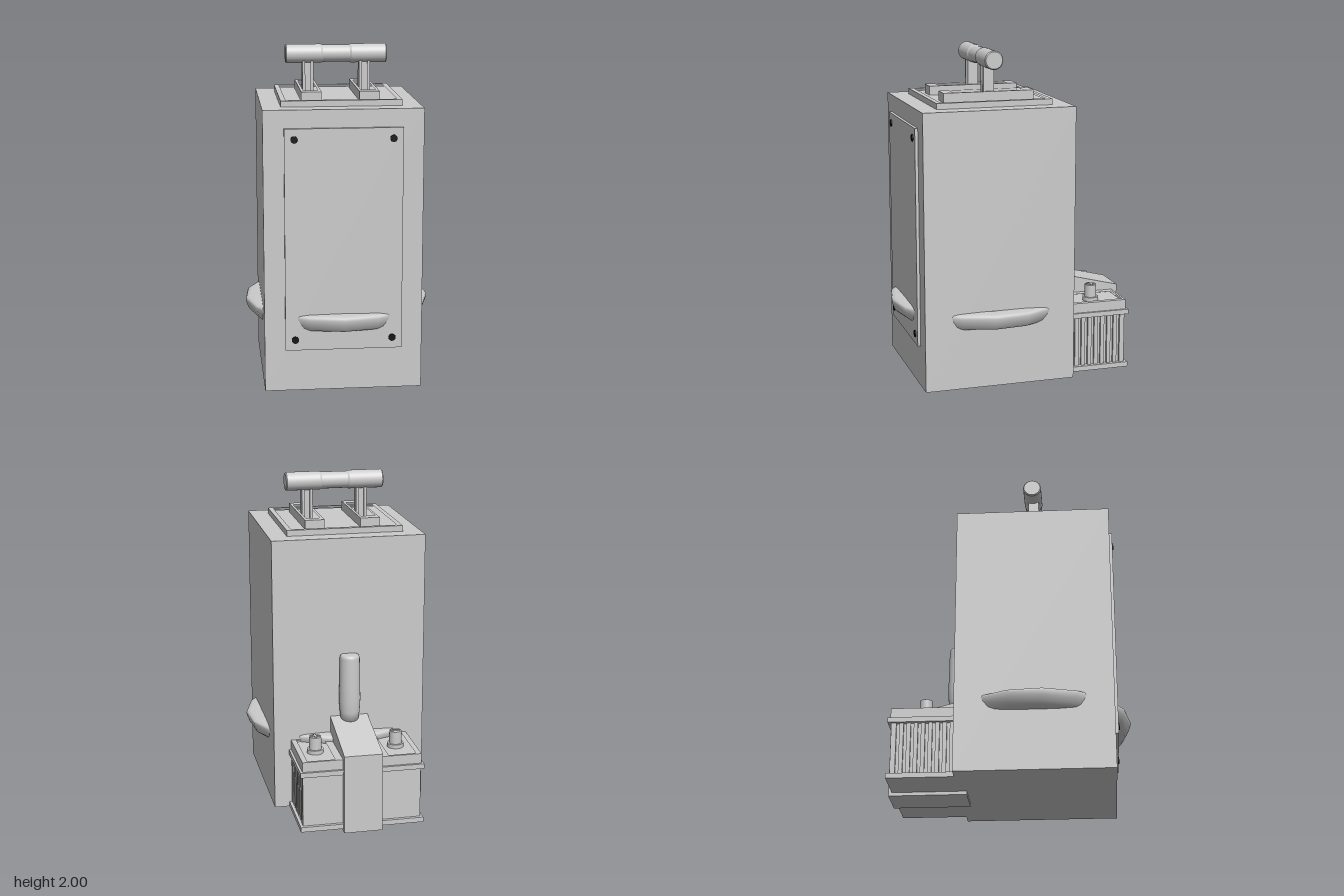
import * as THREE from 'three';

const grey = new THREE.MeshStandardMaterial({ color: 0xcccccc });
const black = new THREE.MeshStandardMaterial({ color: 0x111111 });

export function createModel() {
  const root = new THREE.Group();

  const add = (name, geometry, x = 0, y = 0, z = 0, parent = root, material = grey) => {
    const mesh = new THREE.Mesh(geometry, material);
    mesh.name = name;
    mesh.position.set(x, y, z);
    parent.add(mesh);
    return mesh;
  };
  // box given by its limits on each axis
  const box = (name, x0, x1, y0, y1, z0, z1, parent = root) =>
    add(name, new THREE.BoxGeometry(x1 - x0, y1 - y0, z1 - z0),
      (x0 + x1) / 2, (y0 + y1) / 2, (z0 + z1) / 2, parent);
  const rect = (target, x0, x1, z0, z1) => {
    target.moveTo(x0, -z0);
    target.lineTo(x1, -z0);
    target.lineTo(x1, -z1);
    target.lineTo(x0, -z1);
    target.closePath();
    return target;
  };
  // flat rectangular frame lying in the xz plane; outer and inner are [x0, x1, z0, z1]
  const frame = (name, outer, inner, y0, y1, parent = root) => {
    const shape = rect(new THREE.Shape(), ...outer);
    shape.holes.push(rect(new THREE.Path(), ...inner));
    const g = new THREE.ExtrudeGeometry(shape, { depth: y1 - y0, bevelEnabled: false });
    g.rotateX(-Math.PI / 2);
    return add(name, g, 0, y0, 0, parent);
  };

  // cabinet and front panel with four screws
  box('cabinet', -0.46, 0.46, 0.02, 1.68, -0.3, 0.62);
  box('frontPanel', -0.34, 0.34, 0.27, 1.575, 0.615, 0.638);
  for (const x of [-0.283, 0.283]) for (const y of [0.333, 1.513]) {
    const g = new THREE.CylinderGeometry(0.021, 0.021, 0.015, 16).rotateX(Math.PI / 2);
    add('panelScrew', g, x, y, 0.637, root, black);
  }

  // hose ring that passes through the cabinet walls
  const ringProfile = [
    [0.43, 0.38], [0.49, 0.382], [0.52, 0.388], [0.537, 0.403], [0.55, 0.435],
    [0.557, 0.46], [0.552, 0.474], [0.53, 0.481], [0.48, 0.485], [0.43, 0.482], [0.43, 0.38],
  ].map(([r, y]) => new THREE.Vector2(r, y));
  add('hoseRing', new THREE.LatheGeometry(ringProfile, 17), 0, 0, 0.16);

  // top plate with a raised rim
  box('topPlate', -0.34, 0.34, 1.675, 1.7, -0.18, 0.5);
  frame('topPlateRim', [-0.35, 0.35, -0.19, 0.51], [-0.32, 0.32, -0.16, 0.48], 1.675, 1.715);

  // slotted rails and handle posts
  for (const side of [-1, 1]) {
    const cx = side * 0.168;
    frame('slotRail', [cx - 0.059, cx + 0.059, -0.115, 0.437],
      [cx - 0.043, cx + 0.043, -0.055, 0.373], 1.69, 1.755);
    const post = new THREE.Group();
    post.name = 'handlePost';
    post.position.x = cx;
    root.add(post);
    box('postCore', -0.02, 0.02, 1.69, 1.93, 0.135, 0.175, post);
    for (const s of [-1, 1]) {
      box('postFlange', s * 0.0245 - 0.0085, s * 0.0245 + 0.0085, 1.69, 1.93, 0.123, 0.187, post);
    }
  }

  // handle bar with a slimmer middle
  const barProfile = [[0, -0.3], [0.05, -0.3], [0.056, -0.294], [0.056, -0.09], [0.051, -0.08],
    [0.051, 0.08], [0.056, 0.09], [0.056, 0.294], [0.05, 0.3], [0, 0.3]];
  for (let i = 1; i < barProfile.length; i++) {
    // separate bands keep the edges sharp
    const band = [barProfile[i - 1], barProfile[i]].map(([r, y]) => new THREE.Vector2(r, y));
    add('handleBar', new THREE.LatheGeometry(band, 28).rotateZ(-Math.PI / 2), 0, 1.944, 0.15);
  }

  // central rear housing with a sloping top
  const housing = new THREE.Shape();
  housing.moveTo(0.25, 0);
  housing.lineTo(0.71, 0);
  housing.lineTo(0.71, 0.48);
  housing.lineTo(0.3, 0.585);
  housing.lineTo(0.25, 0.585);
  housing.closePath();
  const housingGeometry = new THREE.ExtrudeGeometry(housing, { depth: 0.23, bevelEnabled: false });
  housingGeometry.rotateY(Math.PI / 2);
  add('rearHousing', housingGeometry, -0.115, 0, 0);

  // upright rounded pipe above the housing
  const pipeProfile = [[0, 0.54], [0.052, 0.56], [0.06, 0.62], [0.065, 0.7], [0.062, 0.8], [0.06, 0.955],
    [0.055, 0.97], [0.045, 0.976], [0, 0.976]].map(([r, y]) => new THREE.Vector2(r, y));
  add('rearPipe', new THREE.LatheGeometry(pipeProfile, 24), 0, 0, -0.32);

  // two battery boxes beside the housing
  for (const side of [-1, 1]) {
    const battery = new THREE.Group();
    battery.name = side > 0 ? 'leftBattery' : 'rightBattery';
    root.add(battery);
    // limits are given for the +x side and mirrored by hand
    const sbox = (name, a, b, ...rest) =>
      box(name, Math.min(side * a, side * b), Math.max(side * a, side * b), ...rest, battery);
    const span = (a, b) => [Math.min(side * a, side * b), Math.max(side * a, side * b)];

    sbox('batteryBase', 0.1, 0.37, 0.02, 0.05, -0.69, -0.29);
    sbox('batteryCase', 0.1, 0.338, 0.04, 0.37, -0.67, -0.29);
    sbox('batteryTrim', 0.1, 0.37, 0.36, 0.39, -0.69, -0.29);
    sbox('batteryLid', 0.1, 0.345, 0.38, 0.435, -0.665, -0.29);
    frame('batteryLidRim', [...span(0.1, 0.356), -0.675, -0.29],
      [...span(0.16, 0.325), -0.66, -0.312], 0.385, 0.45, battery);

    // vertical ribs on the outer face, between corner posts
    for (const z of [-0.655, -0.315]) {
      sbox('cornerPost', 0.32, 0.354, 0.05, 0.36, z - 0.015, z + 0.015);
    }
    for (let i = 0; i < 7; i++) {
      const z = -0.61 + i * 0.0417;
      sbox('caseRib', 0.33, 0.353, 0.05, 0.36, z - 0.012, z + 0.012);
    }

    // terminal with a raised polarity mark
    const x = side * 0.244, z = -0.485;
    add('terminalCollar', new THREE.CylinderGeometry(0.049, 0.049, 0.03, 24), x, 0.444, z, battery);
    add('terminalPost', new THREE.CylinderGeometry(0.036, 0.038, 0.1, 24), x, 0.485, z, battery);
    const mark = [x, 0.536, z, battery];
    add('terminalMark', new THREE.BoxGeometry(0.056, 0.008, 0.014), ...mark);
    if (side > 0) add('terminalMark', new THREE.BoxGeometry(0.014, 0.008, 0.056), ...mark);
  }

  return root;
}
